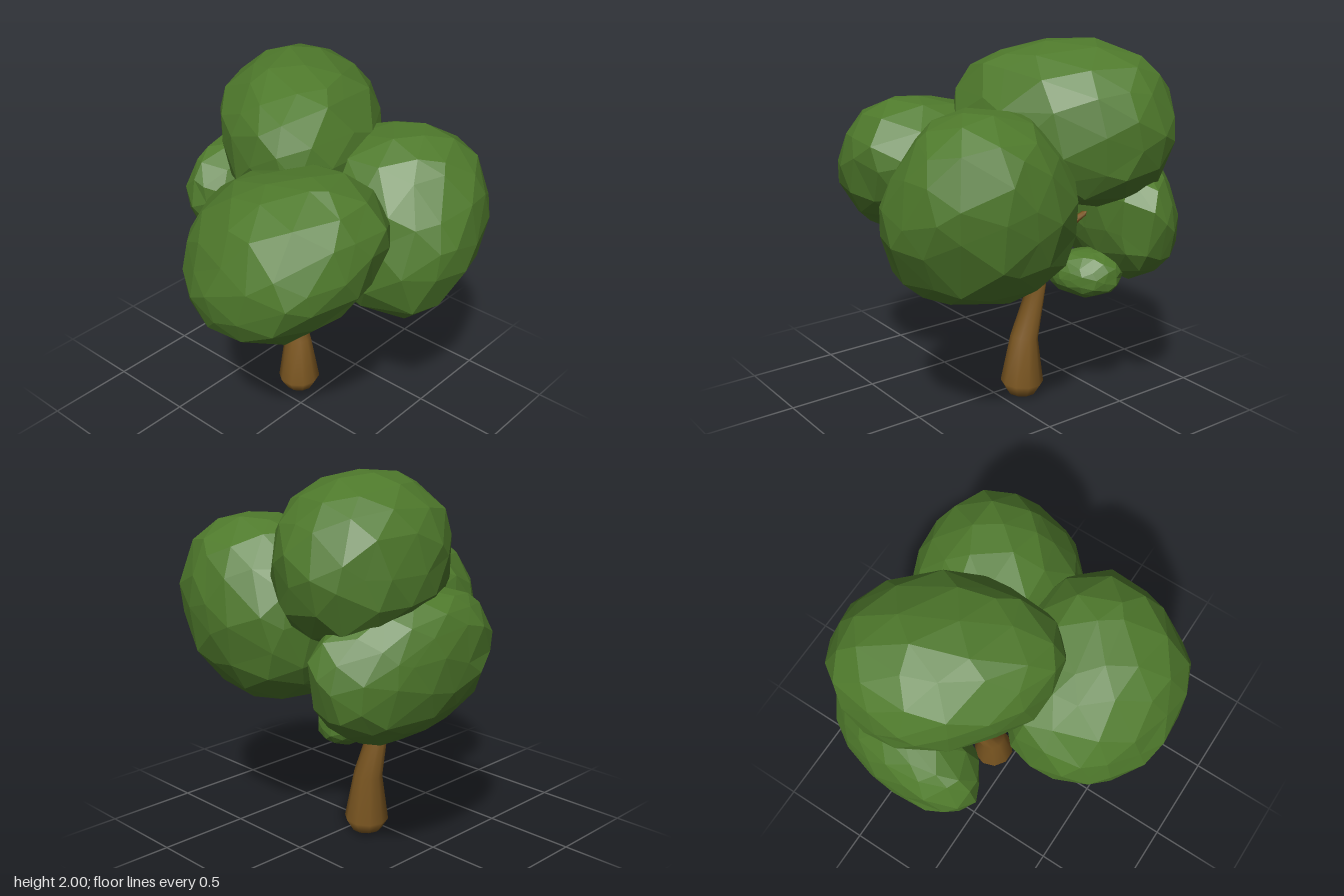
import * as THREE from 'three';

const leaf = new THREE.MeshStandardMaterial({ color: 0x4f7a2c });
leaf.name = 'leaf green';
const bark = new THREE.MeshStandardMaterial({ color: 0x7d5822 });
bark.name = 'bark brown';

// Repeatable noise in -1..1 from a position, so shared corners move together
const noise = (v, seed) => {
  const s = Math.sin(Math.round(v.x * 50) * 12.99 + Math.round(v.y * 50) * 78.23
    + Math.round(v.z * 50) * 37.72 + seed * 4.14) * 43758.55;
  return (s - Math.floor(s)) * 2 - 1;
};

// Faceted leaf clump filling the box min..max; [xy, xz, yz] are its leans,
// pulls are bulges (or dents) as [direction x, y, z, amount]
function clump(name, min, max, [xy, xz, yz], pulls, seed) {
  const geo = new THREE.IcosahedronGeometry(1, 2);
  const pos = geo.attributes.position;
  const l22 = Math.sqrt(1 - xy * xy);
  const l32 = (yz - xy * xz) / l22;
  const l33 = Math.sqrt(1 - xz * xz - l32 * l32);
  const lo = new THREE.Vector3(...min), size = new THREE.Vector3(...max).sub(lo);
  const v = new THREE.Vector3(), p = 2.2;
  for (let i = 0; i < pos.count; i++) {
    v.fromBufferAttribute(pos, i);
    const n = [0, 1, 2, 3].map(k => noise(v, seed + k * 7));
    v.set(v.x + n[0] * 0.1, v.y + n[1] * 0.1, v.z + n[2] * 0.1).normalize();
    const r = (Math.abs(v.x) ** p + Math.abs(v.y) ** p + Math.abs(v.z) ** p) ** (-1 / p);
    v.multiplyScalar(r * (1 + n[3] * 0.025));
    v.set(v.x, xy * v.x + l22 * v.y, xz * v.x + l32 * v.y + l33 * v.z);
    const unit = v.clone().normalize();
    for (const [x, y, z, amount] of pulls) {
      const d = new THREE.Vector3(x, y, z).normalize();
      v.multiplyScalar(1 + amount * Math.max(0, unit.dot(d)) ** 5);
    }
    v.multiply(size);
    pos.setXYZ(i, v.x, v.y, v.z);
  }
  // Fit to the box
  geo.computeBoundingBox();
  const box = geo.boundingBox, c = box.getCenter(new THREE.Vector3());
  const s = size.clone().divide(box.getSize(new THREE.Vector3()));
  geo.translate(-c.x, -c.y, -c.z).scale(s.x, s.y, s.z);
  geo.translate(lo.x + size.x / 2, lo.y + size.y / 2, lo.z + size.z / 2);
  geo.deleteAttribute('uv');
  geo.computeVertexNormals();
  const mesh = new THREE.Mesh(geo, leaf);
  mesh.name = name;
  return mesh;
}

// Tapered limb through rings given as [x, y, z, radius]
function limb(name, rings, sides) {
  const pts = rings.map(r => new THREE.Vector3(r[0], r[1], r[2]));
  const up = new THREE.Vector3(0, 1, 0), q = new THREE.Quaternion();
  const verts = [], index = [];
  rings.forEach((ring, i) => {
    const dir = pts[Math.min(i + 1, pts.length - 1)].clone()
      .sub(pts[Math.max(i - 1, 0)]).normalize();
    q.setFromUnitVectors(up, dir);
    for (let j = 0; j < sides; j++) {
      const a = (j / sides) * Math.PI * 2;
      const v = new THREE.Vector3(Math.cos(a), 0, Math.sin(a))
        .multiplyScalar(ring[3]).applyQuaternion(q).add(pts[i]);
      verts.push(v.x, v.y, v.z);
      if (i === 0) continue;
      const k = (j + 1) % sides, b = (i - 1) * sides, t = i * sides;
      index.push(b + j, t + j, b + k, b + k, t + j, t + k);
    }
  });
  const geo = new THREE.BufferGeometry();
  geo.setAttribute('position', new THREE.Float32BufferAttribute(verts, 3));
  geo.setIndex(index);
  geo.computeVertexNormals();
  const mesh = new THREE.Mesh(geo, bark);
  mesh.name = name;
  return mesh;
}

export function createModel() {
  const tree = new THREE.Group();
  tree.name = 'tree';

  // Crooked trunk with a rounded foot
  tree.add(limb('trunk', [
    [-0.113, 0, -0.112, 0.001], [-0.113, 0.025, -0.112, 0.08], [-0.113, 0.09, -0.112, 0.119],
    [-0.126, 0.35, -0.112, 0.077], [-0.208, 0.64, -0.115, 0.052],
    [-0.08, 0.85, -0.12, 0.05], [-0.03, 0.94, -0.12, 0.045], [0, 1.1, -0.1, 0.001],
  ], 10));

  // Branches reaching into the leaf clumps
  const branches = [
    ['sideBranch', [-0.39, 0.97, -0.07], 0.028, 0.018],
    ['backBranch', [-0.22, 1.06, -0.38], 0.042, 0.03],
    ['frontBranch', [0.12, 1.1, 0.08], 0.04, 0.02],
    ['leftBranch', [0.25, 1.15, -0.3], 0.04, 0.02],
  ];
  for (const [name, e, r0, r1] of branches) {
    const s = [-0.07, 0.87, -0.12];
    const mid = s.map((a, i) => (a + e[i]) / 2);
    const tip = s.map((a, i) => a + (e[i] - a) * 1.05);
    tree.add(limb(name, [[...s, r0], [...mid, (r0 + r1) / 2], [...e, r1], [...tip, 0.001]], 6));
  }
  // Twig at the fork of the back branch
  tree.add(limb('twig', [[-0.2, 1.03, -0.35, 0.025], [-0.28, 1.11, -0.41, 0.015],
    [-0.29, 1.12, -0.42, 0.001]], 6));

  // Leaf clumps
  const leaves = new THREE.Group();
  leaves.name = 'leaves';
  leaves.add(
    clump('topClump', [-0.73, 1.16, -0.81], [0.23, 2, 0.26], [0, 0.28, 0.06],
      [[-1, 0, -1, -0.12], [-1, 0, 1, -0.04], [1, 0, 1, 0.05]], 1),
    clump('frontClump', [-0.36, 0.87, -0.1], [0.69, 1.69, 0.81], [0.2, -0.02, -0.23],
      [[-1, 0, 1, -0.1], [1, 0, -1, 0.12], [-0.5, 1, -0.5, -0.06], [1, -1, 1, 0.07]], 2),
    clump('leftClump', [-0.13, 0.75, -0.8], [0.835, 1.73, 0.085], [0.05, 0.04, -0.08],
      [[-1, 1, -1, -0.1], [1, 1, 1, -0.1], [1, -1, 1, 0.08]], 3),
    clump('rightClump', [-0.835, 0.72, -0.81], [-0.31, 1.47, 0.17], [-0.15, -0.22, 0.18],
      [[1, 0.5, -1, 0.22], [-1, 1, -1, -0.05]], 4),
    clump('smallClump', [-0.45, 0.665, -0.6], [-0.13, 0.91, -0.24], [-0.1, 0.25, 0],
      [[0, -1, 1, 0.1], [0, -1, -1, 0.1]], 5),
  );
  tree.add(leaves);
  return tree;
}
